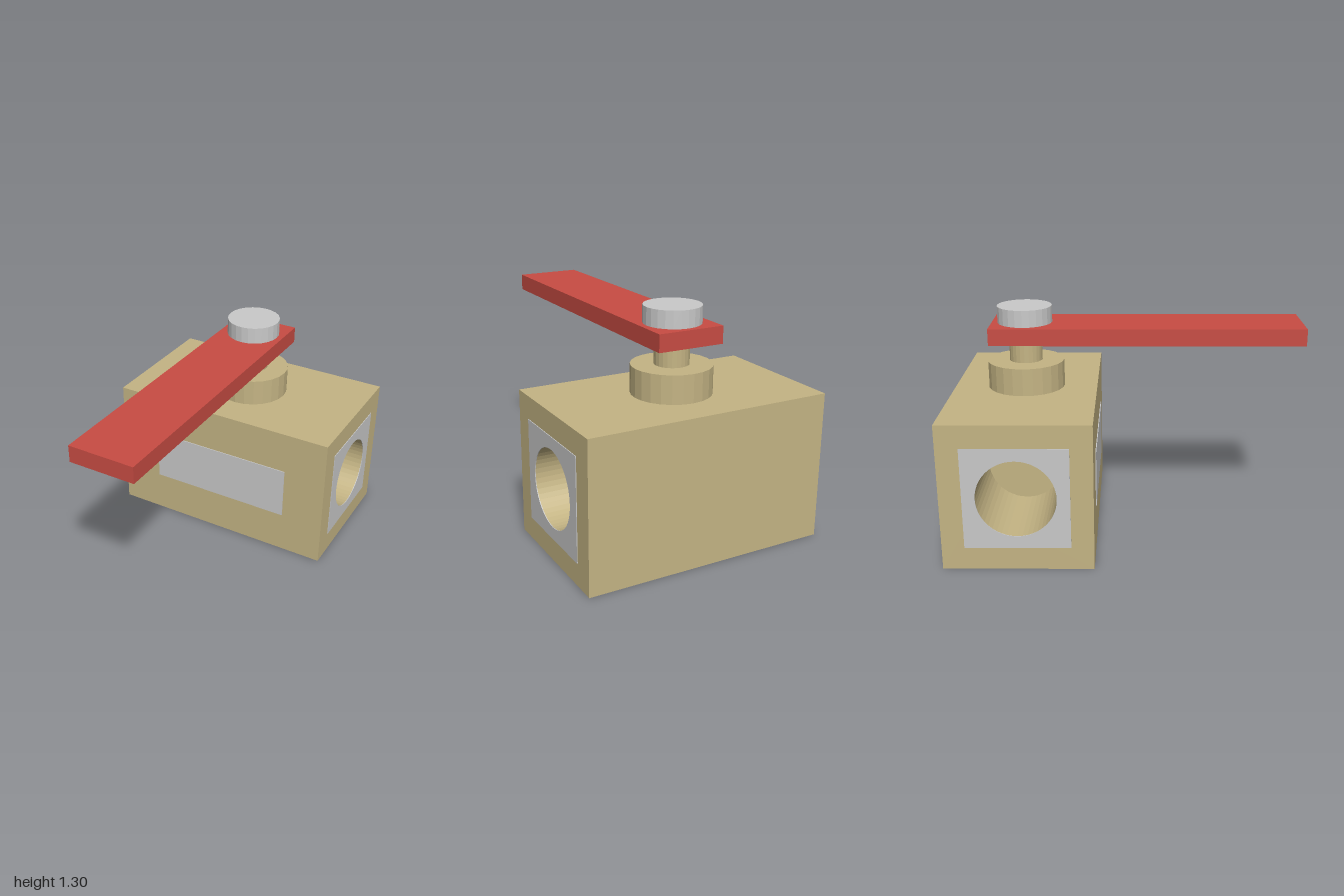
import * as THREE from 'three';

const SEGMENTS = 24;
const AXIS_Z = -0.5875; // stem axis and body centre
const BORE_Y = 0.415;
const BORE_R = 0.217;

function mat(name, color) {
  const m = new THREE.MeshStandardMaterial({ color });
  m.name = name;
  return m;
}

export function createModel() {
  const group = new THREE.Group();
  const brass = mat('brass', 0xc4b484);
  const steel = mat('steel', 0xc9c9c9);
  const red = mat('red', 0xc84c43);

  function add(name, geometry, material, x, y, z) {
    const mesh = new THREE.Mesh(geometry, material);
    mesh.name = name;
    mesh.position.set(x, y, z);
    group.add(mesh);
    return mesh;
  }

  // Faceted upright cylinder between two heights
  function disc(name, r, y0, y1, material) {
    const g = new THREE.CylinderGeometry(r, r, y1 - y0, SEGMENTS).toNonIndexed();
    g.computeVertexNormals();
    add(name, g, material, 0, (y0 + y1) / 2, AXIS_Z);
  }

  // Rectangle with a round hole, extruded along x and centred
  function boredBlock(height, depth, length) {
    const s = new THREE.Shape();
    s.moveTo(-depth / 2, -height / 2);
    s.lineTo(depth / 2, -height / 2);
    s.lineTo(depth / 2, height / 2);
    s.lineTo(-depth / 2, height / 2);
    s.closePath();
    s.holes.push(new THREE.Path().absarc(0, 0, BORE_R, 0, Math.PI * 2, true));
    const g = new THREE.ExtrudeGeometry(s, { depth: length, bevelEnabled: false, curveSegments: SEGMENTS });
    g.translate(0, 0, -length / 2);
    g.rotateY(Math.PI / 2);
    return g;
  }

  // Valve body with a bore in each end, closed in the middle
  add('body', boredBlock(0.83, 0.825, 1.4), brass, 0, BORE_Y, AXIS_Z);
  const plug = new THREE.CylinderGeometry(BORE_R, BORE_R, 0.4, SEGMENTS).rotateZ(Math.PI / 2);
  add('boreStop', plug, brass, 0, BORE_Y, AXIS_Z);

  // Port plates on both ends
  for (const [side, name] of [[1, 'leftPortPlate'], [-1, 'rightPortPlate']]) {
    add(name, boredBlock(0.573, 0.577, 0.004), steel, side * 0.702, BORE_Y, AXIS_Z);
  }

  // Blank plate on the front
  add('frontPlate', new THREE.BoxGeometry(0.886, 0.318, 0.005), steel, 0, 0.416, -0.1725);

  // Collar, stem, lever and cap nut
  disc('collar', 0.221, 0.83, 0.987, brass);
  disc('stem', 0.095, 0.987, 1.113, brass);
  add('lever', new THREE.BoxGeometry(0.38, 0.096, 1.776), red, 0, 1.161, 0.112);
  disc('capNut', 0.157, 1.209, 1.305, steel);

  return group;
}
